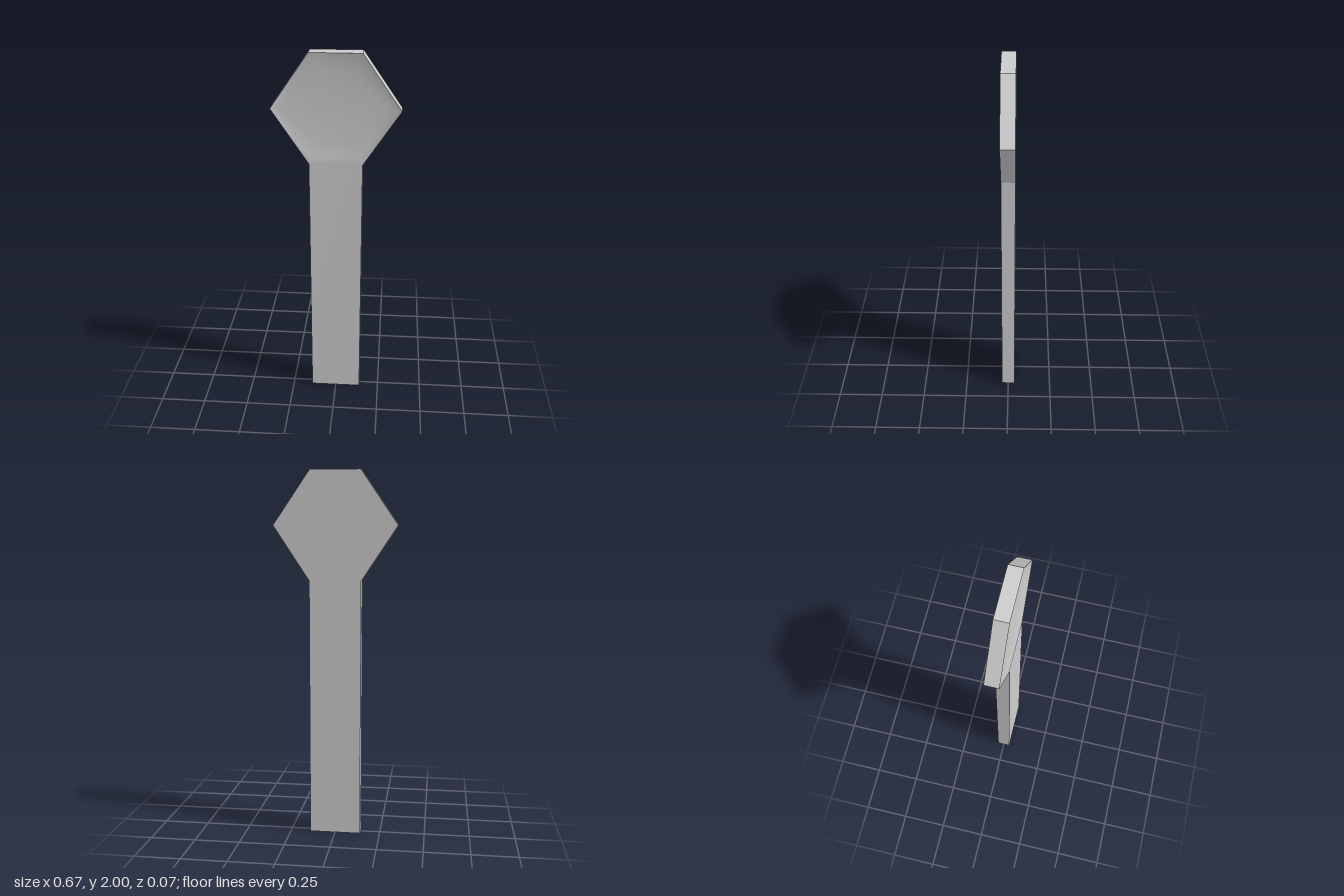
import * as THREE from 'three';

const HALF = 0.037; // half thickness
// outline, counter-clockwise seen from the front; the last six corners form the head
const OUTLINE = [
  [-0.14, 0], [0.14, 0], [0.14, 1.415], [0.335, 1.71],
  [0.135, 2], [-0.135, 2], [-0.335, 1.71], [-0.14, 1.415],
];
const HEAD = OUTLINE.slice(2);
const CENTRE_Y = 1.71;

function makeMesh(name, geometry, flatShading = false) {
  const mesh = new THREE.Mesh(geometry, new THREE.MeshStandardMaterial({ color: 0xcccccc, flatShading }));
  mesh.name = name;
  return mesh;
}

function indexed(points, index) {
  const g = new THREE.BufferGeometry();
  g.setAttribute('position', new THREE.Float32BufferAttribute(points.flat(), 3));
  g.setIndex(index);
  g.computeVertexNormals();
  return g;
}

// Front skin: shallow hollow in the head, smoothly joined to the flat handle
function frontSkin() {
  const rings = [[1, 0], [0.9, 0.011], [0.65, 0.019], [0.3, 0.023]]; // scale, depth
  const n = HEAD.length, points = [], index = [];
  for (const [s, depth] of rings) {
    for (const [x, y] of HEAD) points.push([x * s, CENTRE_Y + (y - CENTRE_Y) * s, HALF - depth]);
  }
  const centre = points.push([0, CENTRE_Y, HALF - 0.024]) - 1;
  rings.forEach((_, r) => {
    for (let i = 0; i < n; i++) {
      const a = r * n + i, b = r * n + (i + 1) % n;
      if (r === rings.length - 1) index.push(a, b, centre);
      else index.push(a, b, b + n, a, b + n, a + n);
    }
  });
  // handle front, sharing the two lower corners of the head
  const left = points.push([...OUTLINE[0], HALF]) - 1;
  const right = points.push([...OUTLINE[1], HALF]) - 1;
  index.push(left, right, 0, left, 0, n - 1);
  return indexed(points, index);
}

// Straight walls around the whole outline
function walls() {
  const n = OUTLINE.length, index = [];
  const points = [HALF, -HALF].flatMap((z) => OUTLINE.map(([x, y]) => [x, y, z]));
  for (let i = 0; i < n; i++) {
    const j = (i + 1) % n;
    index.push(i, i + n, j + n, i, j + n, j);
  }
  return indexed(points, index);
}

export function createModel() {
  const group = new THREE.Group();
  group.name = 'paddle';
  group.add(makeMesh('hollowedFront', frontSkin()));
  group.add(makeMesh('sideWalls', walls(), true));

  // flat back (the outline is symmetric, so turning it round keeps its form)
  const shape = new THREE.Shape(OUTLINE.map(([x, y]) => new THREE.Vector2(x, y)));
  const back = makeMesh('flatBack', new THREE.ShapeGeometry(shape));
  back.rotation.y = Math.PI;
  back.position.z = -HALF;
  group.add(back);
  return group;
}
